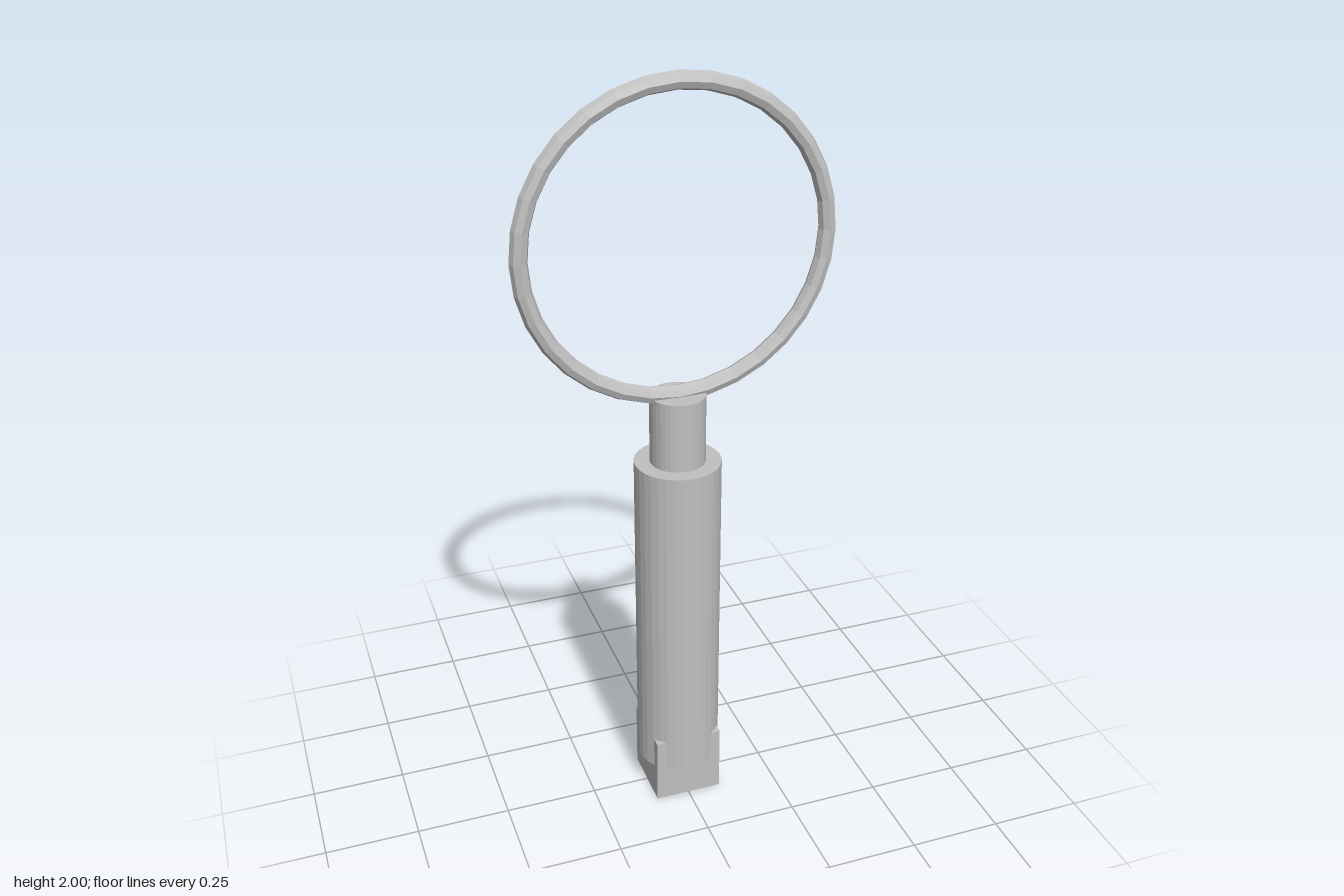
import * as THREE from 'three';

export function createModel() {
  const model = new THREE.Group();
  const grey = new THREE.MeshStandardMaterial({ color: 0xc0c0c0 });
  grey.name = 'plain grey';
  grey.flatShading = true;

  const add = (name, geometry, y) => {
    const mesh = new THREE.Mesh(geometry, grey);
    mesh.name = name;
    mesh.position.y = y;
    model.add(mesh);
  };
  const cylinder = (radius, bottom, top) =>
    new THREE.CylinderGeometry(radius, radius, top - bottom, 32);

  // Square foot whose corners stand out around the handle
  add('foot', new THREE.BoxGeometry(0.184, 0.19, 0.184), 0.095);

  // Handle and the thinner neck above it
  add('handle', cylinder(0.113, 0.1, 1.015), 0.5575);
  add('neck', cylinder(0.072, 1.015, 1.2), 1.1075);

  // Thin upright ring, its lowest part sunk into the neck
  add('ring', new THREE.TorusGeometry(0.388, 0.0225, 8, 32), 1.5895);

  return model;
}
